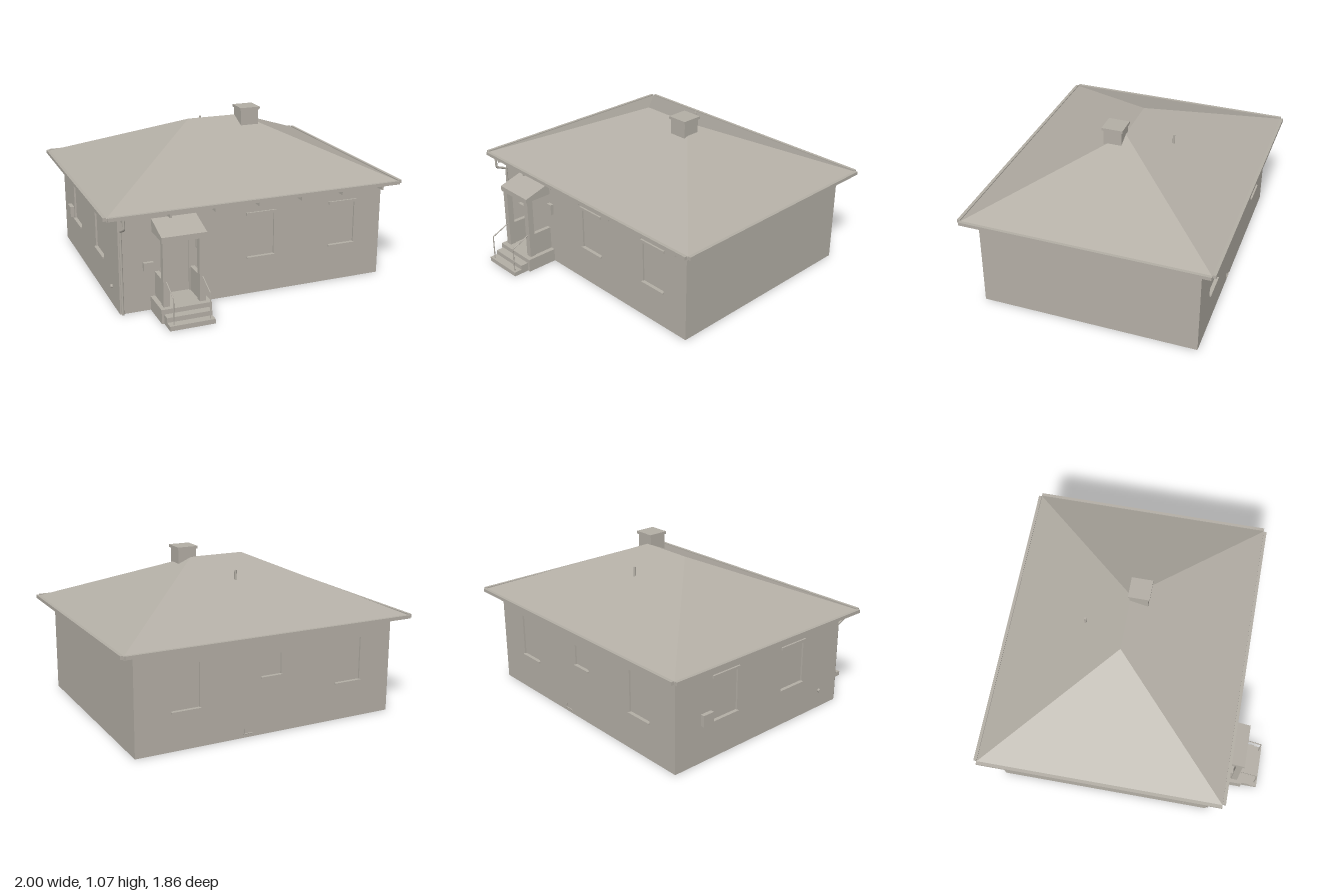
import * as THREE from 'three';

const stone = new THREE.MeshStandardMaterial({ color: 0xb3aea5, side: THREE.DoubleSide });
stone.name = 'warm grey';

const EAVE = 0.655, WALL_TOP = 0.64, DEPTH = 0.014;

function add(parent, name, geometry, x = 0, y = 0, z = 0) {
  const mesh = new THREE.Mesh(geometry, stone);
  mesh.name = name;
  mesh.position.set(x, y, z);
  parent.add(mesh);
  return mesh;
}

// Box given by its limits on each axis
function block(parent, name, x0, x1, y0, y1, z0, z1) {
  return add(parent, name, new THREE.BoxGeometry(x1 - x0, y1 - y0, z1 - z0),
    (x0 + x1) / 2, (y0 + y1) / 2, (z0 + z1) / 2);
}

// Round bar that follows straight segments
function bar(parent, name, points, radius) {
  const path = new THREE.CurvePath();
  const v = points.map((p) => new THREE.Vector3(...p));
  for (let i = 1; i < v.length; i++) path.add(new THREE.LineCurve3(v[i - 1], v[i]));
  add(parent, name, new THREE.TubeGeometry(path, 48, radius, 8));
}

// Wall facing local +z, with recessed openings { x0, x1, y0, y1, lintel, sill }
function wall(parent, name, width, openings) {
  const group = new THREE.Group();
  group.name = name;
  const w = width / 2;
  const shape = new THREE.Shape();
  shape.moveTo(-w, 0).lineTo(w, 0).lineTo(w, WALL_TOP).lineTo(-w, WALL_TOP).closePath();
  for (const { x0, x1, y0, y1, lintel, sill } of openings) {
    const hole = new THREE.Path();
    hole.moveTo(x0, y0).lineTo(x0, y1).lineTo(x1, y1).lineTo(x1, y0).closePath();
    shape.holes.push(hole);
    block(group, 'pane', x0, x1, y0, y1, -DEPTH - 0.002, -DEPTH + 0.002);
    if (lintel) block(group, 'lintel', x0 - 0.01, x1 + 0.01, y1, y1 + 0.018, -0.005, 0.012);
    if (sill) block(group, 'sill', x0 - 0.004, x1 + 0.004, y0 - 0.01, y0, -0.005, 0.012);
  }
  add(group, 'wallPanel', new THREE.ExtrudeGeometry(shape, { depth: DEPTH, bevelEnabled: false }), 0, 0, -DEPTH);
  parent.add(group);
  return group;
}

const windowAt = (x0, x1, lintel = true, y0 = 0.25, y1 = 0.53) => ({ x0, x1, y0, y1, lintel, sill: true });

function buildWalls(house) {
  const zMid = -0.1125;
  const front = wall(house, 'frontWall', 1.79, [
    windowAt(-0.057, 0.125), windowAt(0.52, 0.702),
    { x0: -0.632, x1: -0.447, y0: 0.09, y1: 0.48 },
  ]);
  front.position.z = 0.605;
  const back = wall(house, 'backWall', 1.79, [
    windowAt(-0.66, -0.475, false), windowAt(-0.06, 0.08, false, 0.375, 0.51), windowAt(0.483, 0.667, false),
  ]);
  back.position.z = -0.83;
  back.rotation.y = Math.PI;
  const left = wall(house, 'windowSideWall', 1.435, [
    windowAt(-0.53 - zMid, -0.33 - zMid), windowAt(0.06 - zMid, 0.26 - zMid),
  ]);
  left.position.set(-0.895, 0, zMid);
  left.rotation.y = -Math.PI / 2;
  const right = wall(house, 'plainSideWall', 1.435, []);
  right.position.set(0.895, 0, zMid);
  right.rotation.y = Math.PI / 2;
}

function buildRoof(house) {
  // Hipped roof: four eave corners and two ridge ends
  const a = [-0.98, EAVE, 0.685], b = [0.98, EAVE, 0.685], c = [0.98, EAVE, -0.91], d = [-0.98, EAVE, -0.91];
  const r0 = [-0.185, 1, -0.1125], r1 = [0.185, 1, -0.1125];
  const tris = [a, b, r1, a, r1, r0, b, c, r1, c, d, r0, c, r0, r1, d, a, r0];
  const hip = new THREE.BufferGeometry();
  hip.setAttribute('position', new THREE.Float32BufferAttribute(tris.flat(), 3));
  hip.computeVertexNormals();
  add(house, 'hippedRoof', hip);
  block(house, 'soffit', -0.98, 0.98, 0.633, EAVE, -0.91, 0.685);

  // Gutters, one along each eave
  for (const s of [-1, 1]) {
    block(house, 'sideGutter', s * 0.99 - 0.01, s * 0.99 + 0.01, 0.64, 0.662, -0.91, 0.685);
    const z = s > 0 ? 0.695 : -0.92;
    block(house, 'eaveGutter', -0.975, 0.975, 0.64, 0.662, z - 0.01, z + 0.01);
  }
  // Brackets under the front eave
  for (let i = 0; i < 7; i++) {
    const x = -0.875 + i * 0.29;
    block(house, 'eaveBracket', x - 0.006, x + 0.006, 0.607, 0.635, 0.6, 0.68);
  }
  // Chimney and vent
  block(house, 'chimney', 0.15, 0.275, 0.9, 1.055, -0.115, 0.005);
  block(house, 'chimneyCap', 0.143, 0.283, 1.052, 1.07, -0.125, 0.015);
  add(house, 'roofVent', new THREE.CylinderGeometry(0.008, 0.008, 0.1, 12), 0, 0.895, -0.38);
}

function buildPorch(house) {
  const porch = new THREE.Group();
  porch.name = 'porch';
  house.add(porch);
  block(porch, 'landing', -0.7, -0.38, 0, 0.09, 0.605, 0.82);
  block(porch, 'upperStep', -0.685, -0.4, 0, 0.06, 0.82, 0.875);
  block(porch, 'lowerStep', -0.685, -0.4, 0, 0.03, 0.82, 0.93);

  // Sloping canopy: side profile drawn in (z, y) and extruded along x
  const profile = new THREE.Shape([[0.605, 0.51], [0.79, 0.51], [0.797, 0.5], [0.797, 0.535], [0.605, 0.592]]
    .map((p) => new THREE.Vector2(...p)));
  const canopy = new THREE.ExtrudeGeometry(profile, { depth: 0.285, bevelEnabled: false });
  canopy.rotateY(-Math.PI / 2);
  add(porch, 'canopy', canopy, -0.4, 0, 0);
  block(porch, 'doorHeader', -0.635, -0.445, 0.48, 0.495, 0.6, 0.617);

  for (const s of [-1, 1]) {
    const x = -0.541 + s * 0.115;
    block(porch, 'post', x - 0.02, x + 0.02, 0.09, 0.512, 0.745, 0.787);
    block(porch, 'sideParapet', x - 0.014, x + 0.014, 0.09, 0.25, 0.605, 0.745);
    bar(porch, 'handrail', [[x, 0.03, 0.912], [x, 0.195, 0.912], [x, 0.25, 0.787]], 0.004);
  }
}

function buildFittings(house) {
  // Downpipe at the front corner
  bar(house, 'downpipe', [[-0.88, 0.645, 0.695], [-0.88, 0.575, 0.695], [-0.88, 0.54, 0.615], [-0.88, 0, 0.615]], 0.008);
  // Boxes and outlets on the walls
  block(house, 'meterBox', -0.405, -0.365, 0.37, 0.445, 0.6, 0.628);
  block(house, 'letterBox', -0.745, -0.68, 0.268, 0.32, 0.6, 0.628);
  block(house, 'sideBox', -0.922, -0.89, 0.25, 0.325, -0.63, -0.55);
  const outlet = add(house, 'wallOutlet', new THREE.CylinderGeometry(0.012, 0.012, 0.025, 16), -0.897, 0.122, 0.44);
  outlet.rotation.z = Math.PI / 2;
  bar(house, 'backPipe', [[0.18, 0.06, -0.832], [0.18, 0.025, -0.832], [0.12, 0.025, -0.832]], 0.004);
}

export function createModel() {
  const house = new THREE.Group();
  house.name = 'house';
  buildWalls(house);
  buildRoof(house);
  buildPorch(house);
  buildFittings(house);
  return house;
}
